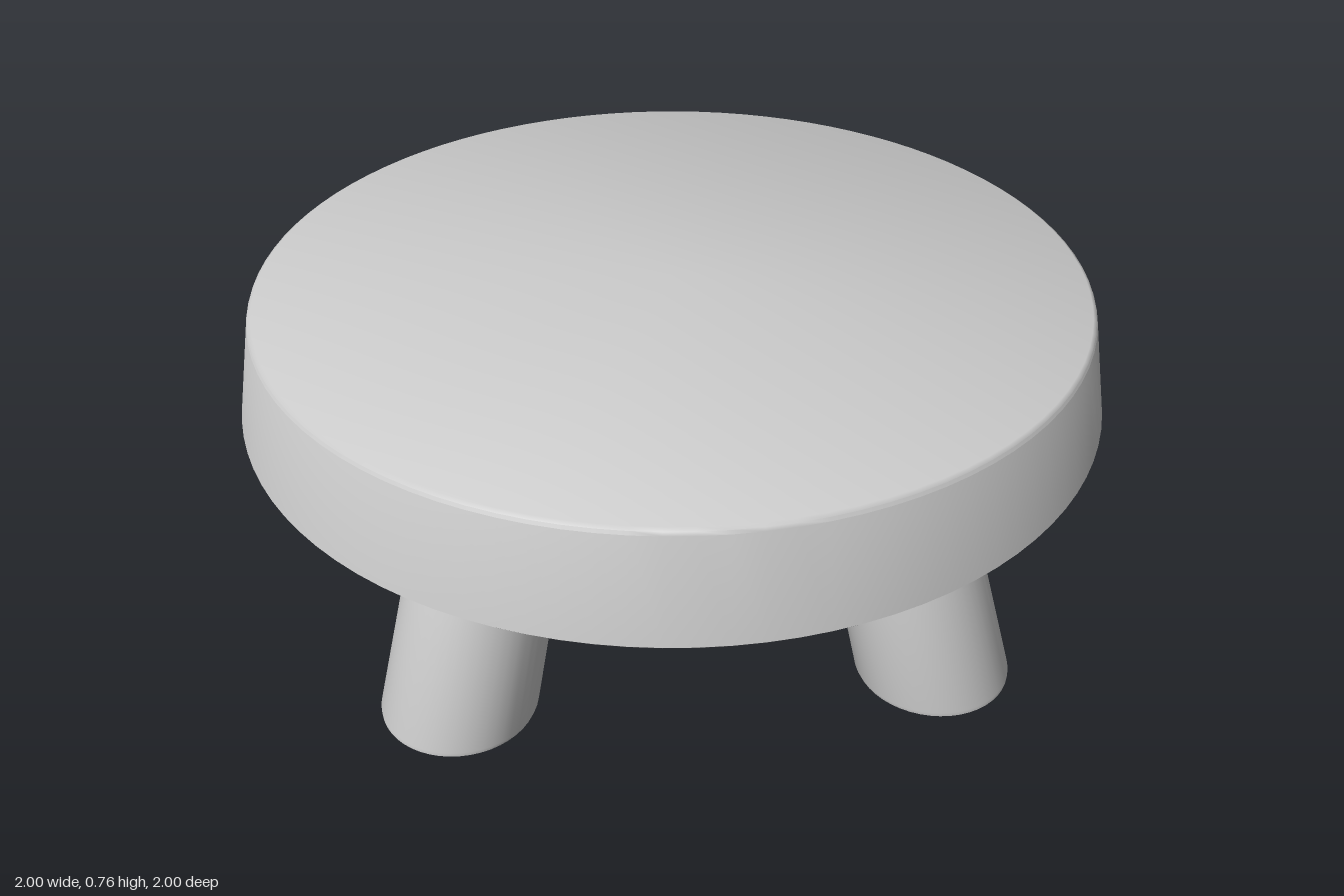
import * as THREE from 'three';
import { toCreasedNormals } from 'three/addons/utils/BufferGeometryUtils.js';

const material = new THREE.MeshStandardMaterial({ color: 0xcccccc });

// Solid of revolution from [radius, height] pairs, listed bottom to top
function turned(profile, segments) {
  const points = profile.map(([r, y]) => new THREE.Vector2(r, y));
  return new THREE.LatheGeometry(points, segments);
}

// Tapered round leg, sheared outward along +x so both ends stay level
function legGeometry() {
  const geometry = turned([
    [0, 0], [0.165, 0], [0.173, 0.004], [0.176, 0.014],
    [0.165, 0.5], [0.163, 0.52], [0, 0.52],
  ], 48);
  const shear = new THREE.Matrix4().set(
    1, -0.325, 0, 0.767,
    0, 1, 0, 0,
    0, 0, 1, 0,
    0, 0, 0, 1,
  );
  geometry.applyMatrix4(shear);
  return toCreasedNormals(geometry, 0.7);
}

export function createModel() {
  const model = new THREE.Group();
  model.name = 'roundStool';

  // Thick seat, narrowing upward with a softened upper edge
  const seat = new THREE.Mesh(toCreasedNormals(turned([
    [0, 0.515], [0.995, 0.515], [1, 0.52],
    [0.958, 0.75], [0.955, 0.758], [0.947, 0.763], [0, 0.764],
  ], 96), 0.7), material);
  seat.name = 'seat';
  model.add(seat);

  // Four splayed legs, one toward each side
  const geometry = legGeometry();
  ['leftLeg', 'backLeg', 'rightLeg', 'frontLeg'].forEach((name, i) => {
    const leg = new THREE.Mesh(geometry, material);
    leg.name = name;
    leg.rotation.y = i * Math.PI / 2;
    model.add(leg);
  });

  return model;
}
